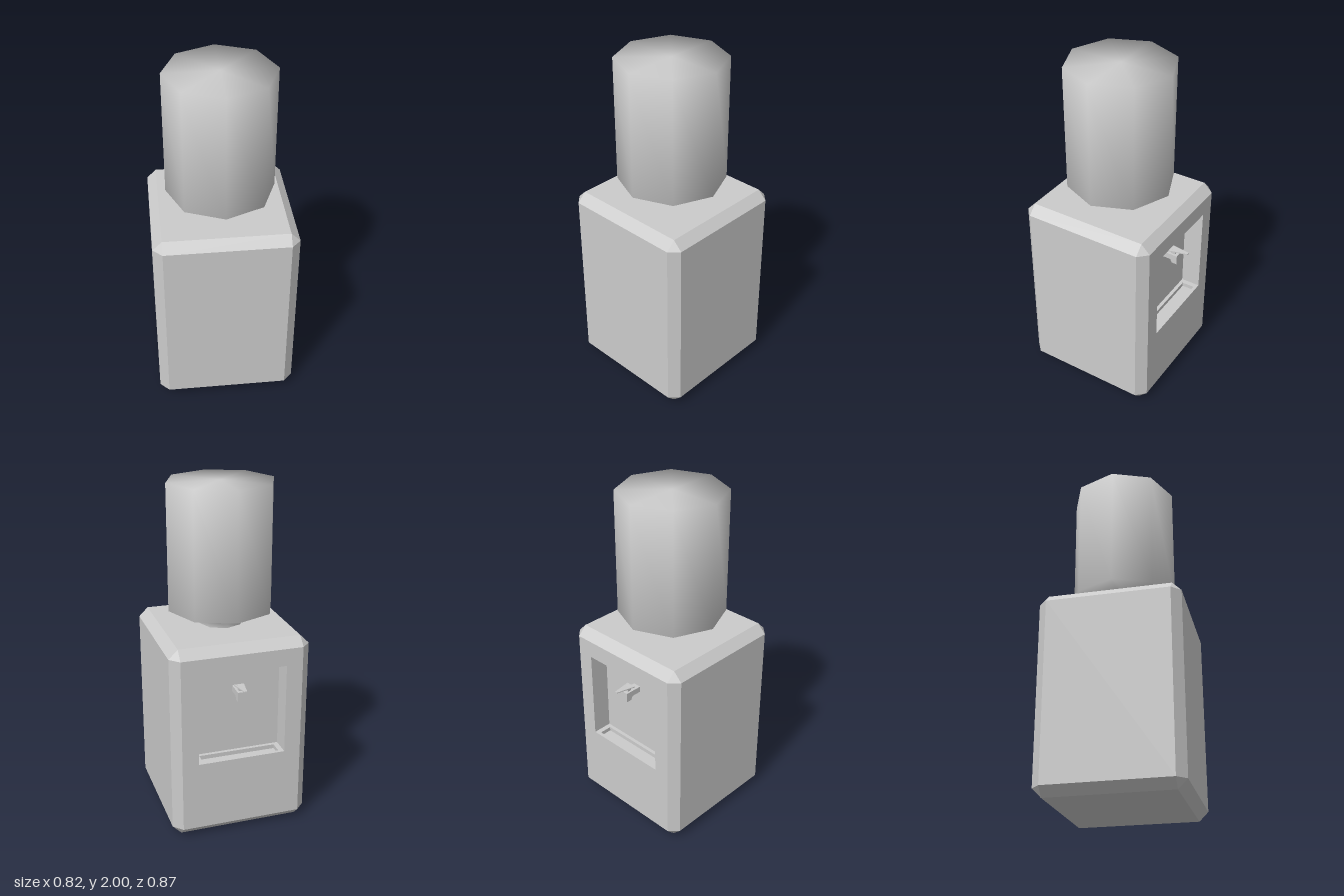
import * as THREE from 'three';

const grey = (extra = {}) => new THREE.MeshStandardMaterial({ color: 0xcccccc, ...extra });

function add(parent, name, geometry, material = grey({ flatShading: true })) {
  const mesh = new THREE.Mesh(geometry, material);
  mesh.name = name;
  parent.add(mesh);
  return mesh;
}

// Flat polygons, each turned away from the origin (or towards it when inward)
function facets(polygons, inward = false) {
  const pos = [];
  for (const poly of polygons) {
    const [a, b, c] = poly;
    const n = b.clone().sub(a).cross(c.clone().sub(a));
    const mid = poly.reduce((s, p) => s.add(p), new THREE.Vector3());
    const p = (n.dot(mid) < 0) !== inward ? [...poly].reverse() : poly;
    for (let i = 1; i < p.length - 1; i++) {
      for (const v of [p[0], p[i], p[i + 1]]) pos.push(v.x, v.y, v.z);
    }
  }
  const g = new THREE.BufferGeometry();
  g.setAttribute('position', new THREE.Float32BufferAttribute(pos, 3));
  g.computeVertexNormals();
  return g;
}

// Chamfered box without its back (-z) face
function chamferedBox(half, bevel) {
  const point = (signs, axis) => new THREE.Vector3(
    ...signs.map((s, i) => s * (half[i] - (i === axis ? 0 : bevel))));
  const polys = [];
  for (let a = 0; a < 3; a++) {
    const b = (a + 1) % 3, c = (a + 2) % 3;
    const signs = (sa, sb, sc) => { const s = []; s[a] = sa; s[b] = sb; s[c] = sc; return s; };
    for (const s of [-1, 1]) {
      // main face
      if (a !== 2 || s > 0) {
        polys.push([[-1, -1], [1, -1], [1, 1], [-1, 1]].map(([u, v]) => point(signs(s, u, v), a)));
      }
      // chamfers running along axis a
      for (const t of [-1, 1]) {
        polys.push([point(signs(-1, s, t), b), point(signs(1, s, t), b),
          point(signs(1, s, t), c), point(signs(-1, s, t), c)]);
      }
    }
  }
  for (const x of [-1, 1]) for (const y of [-1, 1]) for (const z of [-1, 1]) {
    polys.push([0, 1, 2].map(axis => point([x, y, z], axis)));
  }
  return facets(polys);
}

// Rectangle facing +z with a rectangular hole
function holedPanel(w, h, hw, hh, hx = 0, hy = 0) {
  const rect = (T, cx, cy, a, b) => {
    const s = new T();
    s.moveTo(cx - a / 2, cy - b / 2);
    s.lineTo(cx + a / 2, cy - b / 2);
    s.lineTo(cx + a / 2, cy + b / 2);
    s.lineTo(cx - a / 2, cy + b / 2);
    s.closePath();
    return s;
  };
  const shape = rect(THREE.Shape, 0, 0, w, h);
  shape.holes.push(rect(THREE.Path, hx, hy, hw, hh));
  return new THREE.ShapeGeometry(shape);
}

// Open pocket: mouth at z = 0 facing +z; sides can leave out the lower wall
function pocket(w, h, d, lowerWall = true) {
  const v = (x, y, z) => new THREE.Vector3(x * w / 2, y * h / 2, z * d / 2);
  const polys = [
    [v(-1, -1, -1), v(1, -1, -1), v(1, 1, -1), v(-1, 1, -1)],
    [v(-1, 1, -1), v(1, 1, -1), v(1, 1, 1), v(-1, 1, 1)],
    ...[-1, 1].map(s => [v(s, -1, -1), v(s, 1, -1), v(s, 1, 1), v(s, -1, 1)]),
  ];
  if (lowerWall) polys.push([v(-1, -1, -1), v(1, -1, -1), v(1, -1, 1), v(-1, -1, 1)]);
  return facets(polys, true).translate(0, 0, -d / 2);
}

export function createModel() {
  const model = new THREE.Group();
  model.name = 'waterCooler';

  // Cabinet
  const half = [0.41, 0.586, 0.41], bevel = 0.053, cz = 0.023;
  add(model, 'cabinet', chamferedBox(half, bevel)).position.set(0, half[1], cz);

  // Dispensing side, built facing +z and then turned to the back
  const back = new THREE.Group();
  back.name = 'dispenser';
  back.position.set(0, half[1], cz - half[2]);
  back.rotation.y = Math.PI;
  model.add(back);
  const nW = 0.52, nH = 0.545, nD = 0.117, nY = 0.744 - half[1];
  add(back, 'dispenserPanel',
    holedPanel(2 * (half[0] - bevel), 2 * (half[1] - bevel), nW, nH, 0, nY));
  add(back, 'alcove', pocket(nW, nH, nD, false)).position.y = nY;

  // Alcove floor with a sunken drip tray
  const floor = new THREE.Group();
  floor.name = 'alcoveFloor';
  floor.position.set(0, nY - nH / 2, -nD / 2);
  floor.rotation.x = -Math.PI / 2;
  back.add(floor);
  add(floor, 'floorRim', holedPanel(nW, nD, 0.46, 0.075));
  add(floor, 'dripTray', pocket(0.46, 0.075, 0.025));

  // Tap: body with a drooping spout, extruded across its width
  const tap = new THREE.Shape([
    [-nD, 0.85], [-0.055, 0.85], [-0.045, 0.828], [-0.012, 0.828],
    [-0.012, 0.885], [-nD, 0.885],
  ].map(([z, y]) => new THREE.Vector2(z, y - half[1])));
  const tapGeo = new THREE.ExtrudeGeometry(tap, { depth: 0.05, bevelEnabled: false });
  add(back, 'tap', tapGeo.translate(0, 0, -0.025).rotateY(-Math.PI / 2));
  add(back, 'tapStem', new THREE.BoxGeometry(0.025, 0.03, 0.025))
    .position.set(0, 0.897 - half[1], -0.045);

  // Tapered lever above the tap
  const lever = new THREE.Shape([[-0.03, 0.07], [0.03, 0.07], [0.008, -0.048], [-0.008, -0.048]]
    .map(([x, y]) => new THREE.Vector2(x, y)));
  const leverMesh = add(back, 'tapLever',
    new THREE.ExtrudeGeometry(lever, { depth: 0.006, bevelEnabled: false }));
  leverMesh.rotation.x = -Math.PI / 2 - 0.05;
  leverMesh.position.y = 0.908 - half[1];

  // Eight-sided bottle and neck with soft shading
  const profile = [[0.13, 1.165], [0.13, 1.248], [0.314, 1.265], [0.314, 2], [0, 2]];
  add(model, 'bottle', new THREE.LatheGeometry(
    profile.map(([r, y]) => new THREE.Vector2(r, y)), 8), grey()).position.z = cz;

  return model;
}
